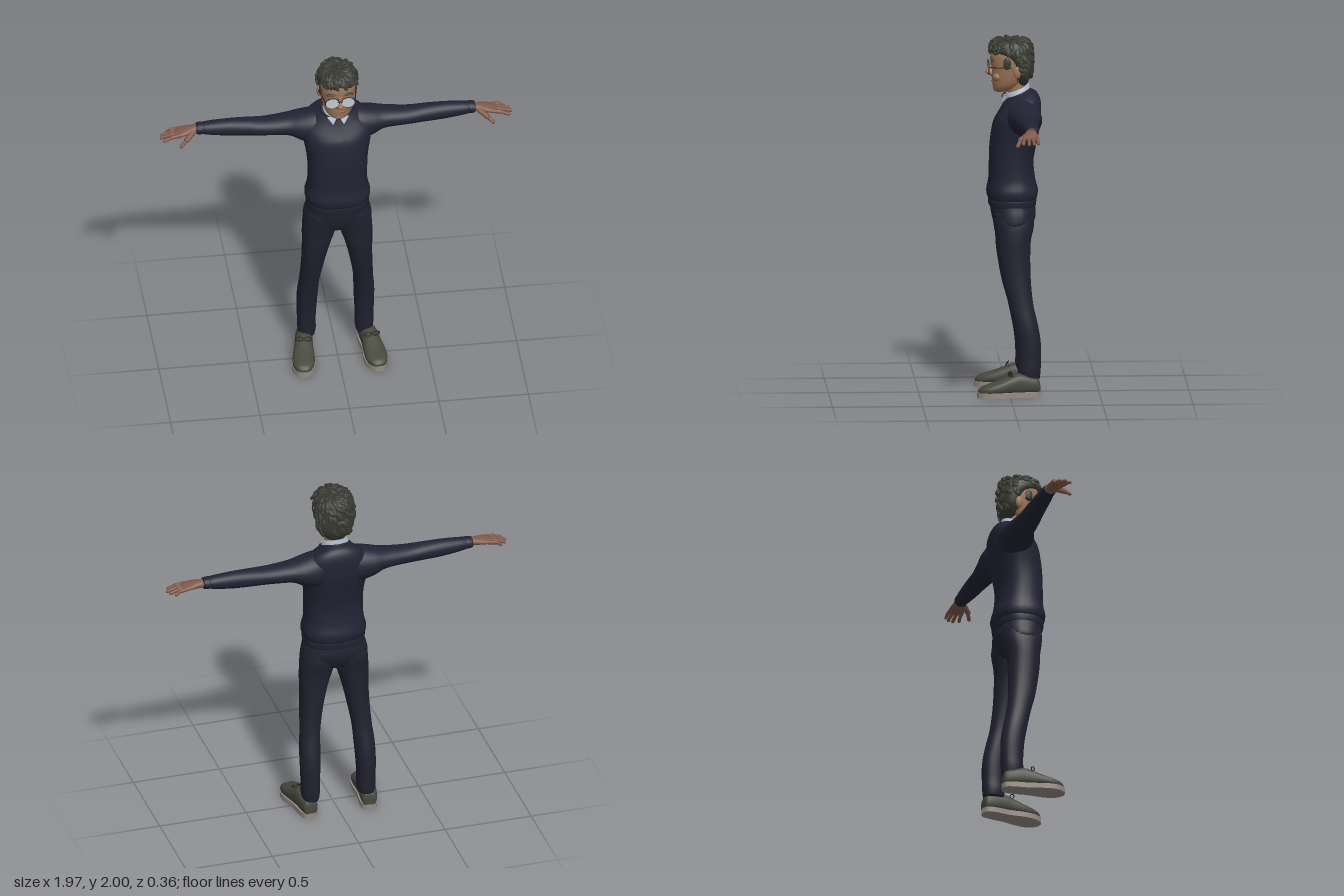
import * as THREE from 'three';
import { mergeGeometries } from 'three/addons/utils/BufferGeometryUtils.js';

const mat = (name, color) => Object.assign(new THREE.MeshStandardMaterial({ color }), { name });
const M = {
  sweater: mat('navySweater', 0x222234),
  trousers: mat('darkTrousers', 0x212130),
  skin: mat('faceSkin', 0x9c7457),
  hand: mat('handSkin', 0x80594a),
  hair: mat('darkHair', 0x383b32),
  shirt: mat('paleBlueShirt', 0xaebacd),
  lens: mat('paleLens', 0xc3cbd1),
  shoe: mat('oliveShoe', 0x45483c),
  sole: mat('greySole', 0x948a82),
  dark: mat('darkDetail', 0x23211f),
};
const AXES = {
  y: (a, t, b) => [a, t, b],
  x: (a, t, b) => [t, b, a],
  z: (a, t, b) => [b, a, t],
};

// Smooth interpolation through rows of numbers
function splineRow(rows, u) {
  const n = rows.length - 1, i = Math.min(Math.floor(u * n), n - 1), f = u * n - i;
  const [p0, p1, p2, p3] = [-1, 0, 1, 2].map(k => rows[Math.max(0, Math.min(n, i + k))]);
  return p1.map((v, c) => v + 0.5 * f * (p2[c] - p0[c] + f * (2 * p0[c] - 5 * v + 4 * p2[c] - p3[c]
    + f * (3 * (v - p2[c]) + p3[c] - p0[c]))));
}

// Closed skin over rows [t, aMin, aMax, bMin, bMax] along one axis
function loft(rows, axis = 'y', power = 1, sides = 28, sub = 4) {
  const rings = (rows.length - 1) * sub, pos = [], idx = [];
  const bend = v => Math.sign(v) * Math.abs(v) ** power;
  for (let i = 0; i <= rings; i++) {
    const [t, a0, a1, b0, b1] = splineRow(rows, i / rings);
    for (let j = 0; j < sides; j++) {
      const w = j / sides * Math.PI * 2;
      pos.push(...AXES[axis]((a0 + a1) / 2 + (a1 - a0) / 2 * bend(Math.cos(w)), t,
        (b0 + b1) / 2 + (b1 - b0) / 2 * bend(Math.sin(w))));
      const p = i * sides + j, q = i * sides + (j + 1) % sides;
      if (i < rings) idx.push(p, p + sides, q, q, p + sides, q + sides);
    }
  }
  for (const end of [0, 1]) {
    const [t, a0, a1, b0, b1] = rows[end ? rows.length - 1 : 0], c = pos.length / 3, o = end * rings * sides;
    pos.push(...AXES[axis]((a0 + a1) / 2, t, (b0 + b1) / 2));
    for (let j = 0; j < sides; j++) {
      const p = o + j, q = o + (j + 1) % sides;
      idx.push(c, end ? q : p, end ? p : q);
    }
  }
  const g = new THREE.BufferGeometry();
  g.setAttribute('position', new THREE.Float32BufferAttribute(pos, 3));
  g.setIndex(idx);
  g.computeVertexNormals();
  return g;
}
// Rows [y, halfWidth, zBack, zFront], symmetric in x
const body = (rows, power) => loft(rows.map(([y, w, b, f]) => [y, -w, w, b, f]), 'y', power);

// Lowers the front and raises the back towards the neckline
function tiltNeck(g) {
  const p = g.attributes.position;
  for (let i = 0; i < p.count; i++) {
    const k = THREE.MathUtils.smoothstep(p.getY(i), 1.5, 1.65);
    p.setY(i, p.getY(i) - (p.getZ(i) + 0.05) * 0.4 * k);
  }
  g.computeVertexNormals();
  return g;
}
function mirrored(g) {
  const m = g.clone().scale(-1, 1, 1);
  if (!m.index) m.setIndex([...Array(m.attributes.position.count).keys()]);
  const a = m.index.array;
  for (let i = 0; i < a.length; i += 3) [a[i], a[i + 1]] = [a[i + 1], a[i]];
  return m;
}
const blob = (x, y, z, rx, ry, rz) => new THREE.SphereGeometry(1, 16, 12).scale(rx, ry, rz).translate(x, y, z);
function rod(p, q, r) {
  const a = new THREE.Vector3(...p), d = new THREE.Vector3(...q).sub(a), l = d.length();
  const turn = new THREE.Quaternion().setFromUnitVectors(new THREE.Vector3(0, 1, 0), d.clone().normalize());
  return new THREE.CapsuleGeometry(r, l, 4, 10).applyQuaternion(turn).translate(...a.addScaledVector(d, 0.5).toArray());
}

export function createModel() {
  const root = new THREE.Group();
  root.name = 'standingMan';
  const add = (name, g, m) => {
    const mesh = new THREE.Mesh(g, m);
    mesh.name = name;
    root.add(mesh);
  };
  const pair = (name, g, m) => {
    add(name + 'Left', g, m);
    add(name + 'Right', mirrored(g), m);
  };

  // Sweater
  add('sweaterBody', tiltNeck(body([[1.075, 0.165, -0.14, 0.1], [1.1, 0.178, -0.158, 0.118], [1.14, 0.182, -0.162, 0.124],
    [1.2, 0.168, -0.147, 0.113], [1.3, 0.166, -0.138, 0.11], [1.4, 0.172, -0.155, 0.106], [1.5, 0.19, -0.176, 0.09],
    [1.57, 0.195, -0.181, 0.068], [1.61, 0.17, -0.173, 0.052], [1.645, 0.125, -0.152, 0.034], [1.672, 0.084, -0.122, 0.02]], 0.85)), M.sweater);
  add('sweaterHem', body([[1.05, 0.168, -0.145, 0.105], [1.056, 0.174, -0.152, 0.112], [1.085, 0.176, -0.154, 0.114],
    [1.1, 0.172, -0.15, 0.11]], 0.85), M.sweater);
  add('neckBand', new THREE.TorusGeometry(1, 0.1, 8, 36).rotateX(Math.PI / 2).scale(0.083, 0.08, 0.073)
    .rotateX(0.38).translate(0, 1.671, -0.05), M.sweater);
  pair('sleeve', loft([[0.04, -0.16, 0.02, 1.47, 1.64], [0.12, -0.176, 0.022, 1.445, 1.652], [0.2, -0.177, 0.008, 1.468, 1.638],
    [0.27, -0.165, -0.012, 1.502, 1.622], [0.4, -0.15, -0.024, 1.511, 1.611], [0.5, -0.145, -0.036, 1.514, 1.615],
    [0.6, -0.14, -0.045, 1.518, 1.617], [0.7, -0.135, -0.052, 1.531, 1.612], [0.75, -0.128, -0.058, 1.541, 1.606]], 'x'), M.sweater);
  pair('cuff', loft([[0.738, -0.126, -0.06, 1.543, 1.604], [0.745, -0.131, -0.055, 1.54, 1.609],
    [0.775, -0.129, -0.056, 1.543, 1.606], [0.78, -0.122, -0.062, 1.55, 1.6]], 'x'), M.sweater);

  // Shirt collar and neck
  add('collar', tiltNeck(body([[1.64, 0.08, -0.12, 0.02], [1.68, 0.077, -0.118, 0.018], [1.703, 0.068, -0.113, 0.012]])), M.shirt);
  const flap = new THREE.Shape([[0.004, 0.01], [0.03, -0.034], [0.062, 0.012]].map(p => new THREE.Vector2(...p)));
  pair('collarPoint', new THREE.ExtrudeGeometry(flap, { depth: 0.006, bevelEnabled: false })
    .rotateY(0.25).rotateX(-0.5).translate(0, 1.654, 0.028), M.shirt);
  add('neck', body([[1.6, 0.055, -0.1, 0], [1.68, 0.058, -0.1, 0.006], [1.78, 0.06, -0.1, 0.02]]), M.skin);

  // Head and face
  add('head', body([[1.686, 0.024, 0.03, 0.07], [1.697, 0.05, -0.01, 0.082], [1.725, 0.074, -0.06, 0.089],
    [1.77, 0.088, -0.1, 0.094], [1.82, 0.096, -0.115, 0.096], [1.86, 0.099, -0.12, 0.101], [1.9, 0.097, -0.12, 0.099],
    [1.94, 0.083, -0.11, 0.08], [1.965, 0.05, -0.08, 0.05]], 0.92), M.skin);
  add('nose', body([[1.774, 0.01, 0.07, 0.1], [1.786, 0.022, 0.07, 0.122], [1.8, 0.02, 0.07, 0.131],
    [1.82, 0.012, 0.07, 0.119], [1.855, 0.01, 0.07, 0.105]]), M.skin);
  add('chin', blob(0, 1.705, 0.066, 0.034, 0.02, 0.022), M.skin);
  add('mouth', blob(0, 1.746, 0.09, 0.03, 0.006, 0.007), M.hand);
  pair('cheek', blob(0.05, 1.775, 0.065, 0.03, 0.025, 0.025), M.skin);
  pair('ear', blob(0.1, 1.806, -0.008, 0.012, 0.034, 0.021).rotateX(-0.02), M.skin);
  pair('eyebrow', blob(0.045, 1.868, 0.092, 0.032, 0.006, 0.01), M.hair);

  // Glasses
  pair('lens', new THREE.CylinderGeometry(1, 1, 0.006, 32).rotateX(Math.PI / 2).scale(0.037, 0.031, 1)
    .translate(0.044, 1.825, 0.112), M.lens);
  pair('lensRim', new THREE.TorusGeometry(1, 0.07, 6, 32).scale(0.038, 0.032, 0.05).translate(0.044, 1.825, 0.112), M.dark);
  pair('glassesArm', rod([0.082, 1.833, 0.11], [0.106, 1.83, -0.01], 0.003), M.dark);
  add('glassesBridge', rod([-0.012, 1.833, 0.116], [0.012, 1.833, 0.116], 0.003), M.dark);

  // Hair: a cap covered with overlapping tufts
  const cap = body([[1.725, 0.05, -0.1, -0.04], [1.76, 0.08, -0.118, -0.03], [1.8, 0.1, -0.13, -0.018],
    [1.85, 0.106, -0.134, 0.004], [1.885, 0.109, -0.133, 0.04], [1.915, 0.108, -0.131, 0.096], [1.945, 0.1, -0.124, 0.1],
    [1.97, 0.08, -0.105, 0.083], [1.984, 0.045, -0.07, 0.05]], 0.95);
  add('hairCap', cap, M.hair);
  let seed = 7;
  const rand = () => (seed = (seed * 16807) % 2147483647) / 2147483647;
  const tufts = [], P = cap.attributes.position, N = cap.attributes.normal, o = new THREE.Object3D();
  const tuft = (p, n, size) => {
    o.position.copy(p);
    o.lookAt(p.clone().add(n));
    o.rotateZ(0.5 + (rand() - 0.5) * 1.2);
    o.rotateX(-0.25);
    o.scale.set(0.015, 0.028, 0.009).multiplyScalar(size);
    o.updateMatrix();
    tufts.push(new THREE.SphereGeometry(1, 8, 6).applyMatrix4(o.matrix));
  };
  for (let i = 0; i < P.count; i++) {
    const p = new THREE.Vector3().fromBufferAttribute(P, i), n = new THREE.Vector3().fromBufferAttribute(N, i);
    if (rand() < 0.22 && p.y > 1.775 && (p.y > 1.91 || p.z < -0.04)) tuft(p, n, 0.8 + rand() * 0.35);
  }
  for (let i = 0; i < 7; i++) {
    const x = -0.075 + i * 0.027;
    tuft(new THREE.Vector3(x, 1.925 + 0.012 * (i % 2), 0.1 - 5 * x * x), new THREE.Vector3(x * 4, 0.3, 1).normalize(), 1);
  }
  add('hairTufts', mergeGeometries(tufts), M.hair);
  pair('sideburn', blob(0.096, 1.855, 0.012, 0.009, 0.035, 0.022), M.hair);

  // Hands
  pair('palm', loft([[0.76, -0.118, -0.066, 1.553, 1.598], [0.8, -0.12, -0.057, 1.552, 1.597], [0.84, -0.125, -0.042, 1.55, 1.591],
    [0.88, -0.125, -0.037, 1.55, 1.581], [0.9, -0.112, -0.048, 1.556, 1.573]], 'x'), M.hand);
  const fingers = [[-0.114, -0.122, 0.94], [-0.092, -0.098, 0.968], [-0.07, -0.07, 0.976], [-0.048, -0.038, 0.962]];
  pair('fingers', mergeGeometries(fingers.flatMap(([z0, z1, x]) => [
    rod([0.87, 1.566, z0], [0.92, 1.56, (z0 + z1) / 2], 0.0115),
    rod([0.92, 1.56, (z0 + z1) / 2], [x, 1.544, z1], 0.0095)])), M.hand);
  pair('thumb', mergeGeometries([rod([0.795, 1.572, -0.07], [0.84, 1.546, -0.028], 0.016),
    rod([0.84, 1.546, -0.028], [0.872, 1.518, -0.01], 0.0105)]), M.hand);

  // Trousers
  add('trouserHips', body([[0.885, 0.06, -0.07, 0.03], [0.91, 0.14, -0.11, 0.062], [0.95, 0.188, -0.135, 0.082],
    [1.0, 0.187, -0.15, 0.096], [1.05, 0.174, -0.146, 0.103], [1.09, 0.165, -0.14, 0.104]], 0.85), M.trousers);
  pair('trouserLeg', loft([[0.1, 0.115, 0.206, -0.166, -0.05], [0.14, 0.109, 0.212, -0.17, -0.044], [0.2, 0.11, 0.213, -0.172, -0.045],
    [0.3, 0.105, 0.216, -0.171, -0.038], [0.4, 0.1, 0.215, -0.155, -0.02], [0.5, 0.095, 0.206, -0.132, 0.002],
    [0.6, 0.08, 0.2, -0.12, 0.03], [0.7, 0.06, 0.196, -0.115, 0.05], [0.8, 0.035, 0.196, -0.115, 0.065],
    [0.87, 0.012, 0.196, -0.12, 0.07], [0.95, 0, 0.19, -0.137, 0.083], [1.02, 0.01, 0.175, -0.13, 0.085]], 'y', 0.9), M.trousers);

  // Shoes, turned slightly outwards
  const place = g => g.rotateY(0.13).translate(0.19, 0, 0);
  pair('shoeUpper', place(loft([[-0.166, 0.02, 0.07, -0.025, 0.025], [-0.155, 0.015, 0.105, -0.04, 0.04], [-0.11, 0.015, 0.118, -0.047, 0.047],
    [-0.05, 0.015, 0.132, -0.05, 0.05], [0, 0.015, 0.118, -0.054, 0.054], [0.06, 0.015, 0.094, -0.061, 0.061],
    [0.12, 0.015, 0.074, -0.06, 0.06], [0.16, 0.015, 0.06, -0.043, 0.043], [0.178, 0.02, 0.042, -0.02, 0.02]], 'z', 0.8)), M.shoe);
  const outline = new THREE.SplineCurve([[0, -0.172], [0.038, -0.155], [0.049, -0.1], [0.05, -0.02], [0.064, 0.07], [0.058, 0.135],
    [0.03, 0.176], [0, 0.184], [-0.03, 0.176], [-0.058, 0.135], [-0.064, 0.07], [-0.05, -0.02], [-0.049, -0.1], [-0.038, -0.155],
    [0, -0.172]].map(([x, z]) => new THREE.Vector2(x, -z))).getPoints(48);
  pair('shoeSole', place(new THREE.ExtrudeGeometry(new THREE.Shape(outline.slice(0, -1)), { depth: 0.03, bevelEnabled: false })
    .rotateX(-Math.PI / 2)), M.sole);
  const laces = [0, 1, 2, 3].map(i => rod([-0.028, 0.117 - i * 0.011, -0.01 + i * 0.022], [0.028, 0.117 - i * 0.011, -0.01 + i * 0.022], 0.004));
  for (const s of [-1, 1]) {
    laces.push(new THREE.TorusGeometry(0.016, 0.003, 6, 14).scale(1.3, 0.7, 1).rotateX(-0.7).translate(s * 0.024, 0.128, 0));
  }
  pair('shoeLaces', place(mergeGeometries(laces.map(g => g.toNonIndexed()))), M.dark);
  return root;
}
